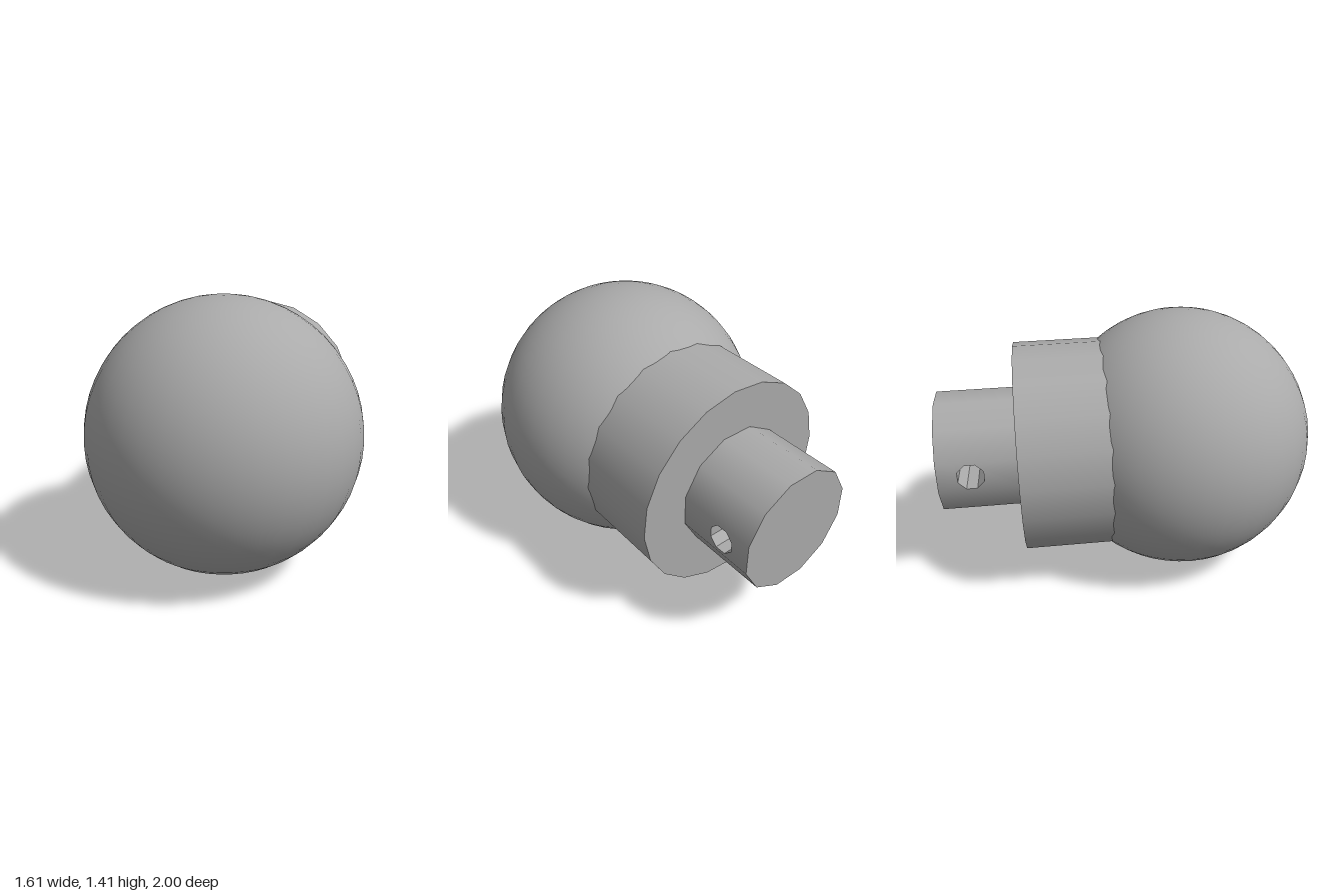
import * as THREE from 'three';
import { mergeGeometries } from 'three/addons/utils/BufferGeometryUtils.js';

const STUB_R = 0.325, STUB_SIDES = 12, STUB_START = 0.85, STUB_END = 1.304;
const HOLE_R = 0.073, HOLE_AT = 1.132;
const APOTHEM = STUB_R * Math.cos(Math.PI / STUB_SIDES);

// One flat side of the stub, optionally pierced by the octagonal cross hole
function stubSide(i) {
  const half = STUB_R * Math.sin(Math.PI / STUB_SIDES);
  const shape = new THREE.Shape([
    new THREE.Vector2(-half, STUB_START), new THREE.Vector2(half, STUB_START),
    new THREE.Vector2(half, STUB_END), new THREE.Vector2(-half, STUB_END),
  ]);
  if (i % (STUB_SIDES / 2) === 0) {
    const points = [];
    for (let k = 0; k < 8; k++) {
      const a = (k + 0.5) * Math.PI / 4;
      points.push(new THREE.Vector2(HOLE_R * Math.cos(a), HOLE_AT + HOLE_R * Math.sin(a)));
    }
    shape.holes.push(new THREE.Path(points));
  }
  const basis = new THREE.Matrix4().makeBasis(
    new THREE.Vector3(0, 1, 0), new THREE.Vector3(0, 0, 1), new THREE.Vector3(1, 0, 0));
  return new THREE.ShapeGeometry(shape)
    .applyMatrix4(basis)
    .translate(APOTHEM, 0, 0)
    .rotateZ(i * 2 * Math.PI / STUB_SIDES);
}

function stubWall() {
  const sides = [];
  for (let i = 0; i < STUB_SIDES; i++) sides.push(stubSide(i));
  const geometry = mergeGeometries(sides);
  // Radial normals so the barrel shades smoothly
  const p = geometry.attributes.position, n = geometry.attributes.normal;
  for (let i = 0; i < p.count; i++) {
    const r = Math.hypot(p.getX(i), p.getY(i));
    n.setXYZ(i, p.getX(i) / r, p.getY(i) / r, 0);
  }
  return geometry;
}

// Inward-facing lining of the cross hole
function holeLining() {
  const tube = new THREE.CylinderGeometry(HOLE_R, HOLE_R, 2 * APOTHEM, 8, 1, true, Math.PI / 8)
    .rotateZ(Math.PI / 2)
    .scale(1, 1, -1)
    .translate(0, 0, HOLE_AT)
    .toNonIndexed();
  tube.computeVertexNormals();
  return tube;
}

export function createModel() {
  const grey = new THREE.MeshStandardMaterial({ color: 0xaaaaaa });
  grey.name = 'plain grey';
  const model = new THREE.Group();
  model.name = 'ballKnob';

  const add = (parent, name, geometry) => {
    const mesh = new THREE.Mesh(geometry, grey);
    mesh.name = name;
    parent.add(mesh);
    return mesh;
  };

  // Ball
  const centre = new THREE.Vector3(-0.105, 0.704, 0.298);
  add(model, 'ball', new THREE.SphereGeometry(0.704, 40, 28)).position.copy(centre);

  // Neck assembly, its local z pointing out of the ball
  const neck = new THREE.Group();
  neck.name = 'neck';
  neck.position.copy(centre);
  neck.lookAt(centre.clone().add(new THREE.Vector3(0.468, -0.018, -0.884)));
  model.add(neck);

  // Collar
  add(neck, 'collar', new THREE.CylinderGeometry(0.563, 0.563, 0.581, 20)
    .rotateX(Math.PI / 2)
    .rotateZ(THREE.MathUtils.degToRad(3.5))
    .translate(0, 0, 0.59));

  // Stub with a hole straight through it
  add(neck, 'stubWall', stubWall());
  add(neck, 'stubEnd', new THREE.CircleGeometry(STUB_R, STUB_SIDES, Math.PI / STUB_SIDES)
    .translate(0, 0, STUB_END));
  add(neck, 'crossHole', holeLining());

  return model;
}
